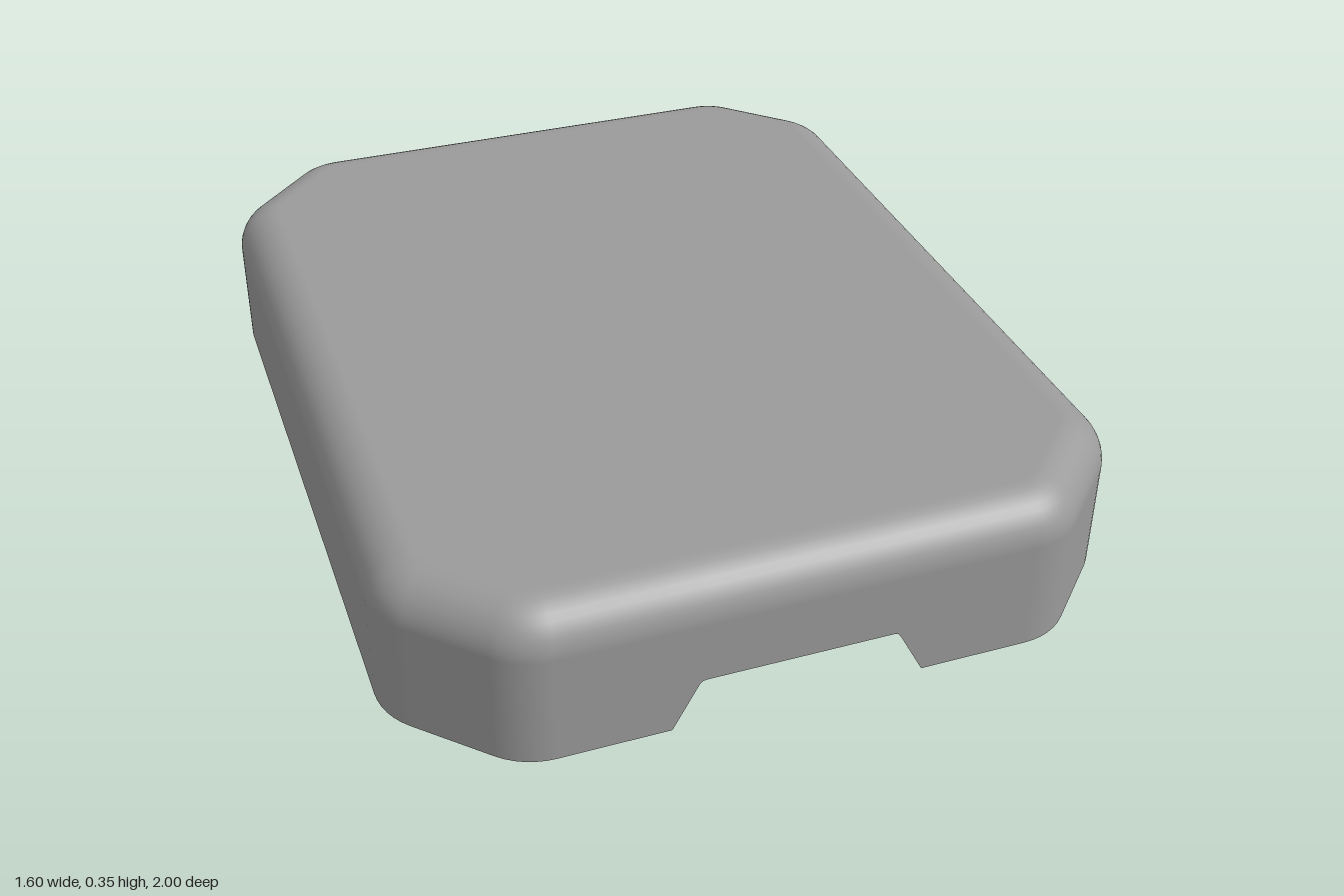
import * as THREE from 'three';

const R = 0.16;                          // plan corner radius
const T = R * Math.tan(Math.PI / 8);     // tangent length at a 45 degree corner
const HEIGHT = 0.35, FILLET = 0.1;
const NOTCH = [[0.27, 0], [0.215, 0.103], [0.209, 0.11], [0.2, 0.112]]; // half notch: x, lower edge height

// Outline columns: arc centre, outward normal and lower edge height
function outline() {
  const cols = [];
  const add = (cx, cz, a, low = 0) => cols.push({ cx, cz, nx: Math.cos(a), nz: Math.sin(a), low });
  for (let k = 0; k < 8; k++) {
    const mid = (k + 0.5) * Math.PI / 4;
    const sx = Math.sign(Math.cos(mid)), sz = Math.sign(Math.sin(mid));
    const sideCorner = k % 4 === 0 || k % 4 === 3;
    const cx = sx * (sideCorner ? 0.8 - R : 0.573 - T);
    const cz = sz * (sideCorner ? 0.773 - T : 1 - R);
    for (let i = 0; i <= 6; i++) add(cx, cz, (k + i / 6) * Math.PI / 4);
    // cable notch across the front and back walls
    if (k === 1 || k === 5) {
      for (const [x, y] of NOTCH) add(sx * x, cz, (k + 1) * Math.PI / 4, y);
      for (const [x, y] of [...NOTCH].reverse()) add(-sx * x, cz, (k + 1) * Math.PI / 4, y);
    }
  }
  return cols;
}

// Upright wall rolling over into a rounded rim, closed by a flat top
function shellGeometry() {
  const cols = outline(), steps = 10, rows = steps + 2;
  const pos = [], nor = [], index = [];
  for (const c of cols) {
    for (let j = 0; j < rows; j++) {
      const a = Math.max(0, j - 1) / steps * Math.PI / 2;
      const d = R - FILLET * (1 - Math.cos(a));
      const y = j === 0 ? c.low : HEIGHT - FILLET * (1 - Math.sin(a));
      pos.push(c.cx + c.nx * d, y, c.cz + c.nz * d);
      nor.push(c.nx * Math.cos(a), Math.sin(a), c.nz * Math.cos(a));
    }
  }
  const centre = cols.length * rows;
  pos.push(0, HEIGHT, 0);
  nor.push(0, 1, 0);
  for (let i = 0; i < cols.length; i++) {
    const p = i * rows, q = ((i + 1) % cols.length) * rows;
    for (let j = 0; j < rows - 1; j++) {
      index.push(p + j, p + j + 1, q + j, q + j, p + j + 1, q + j + 1);
    }
    index.push(centre, q + rows - 1, p + rows - 1);
  }
  const g = new THREE.BufferGeometry();
  g.setAttribute('position', new THREE.Float32BufferAttribute(pos, 3));
  g.setAttribute('normal', new THREE.Float32BufferAttribute(nor, 3));
  g.setIndex(index);
  return g;
}

export function createModel() {
  const group = new THREE.Group();
  group.name = 'cover';
  const shell = new THREE.Mesh(
    shellGeometry(),
    new THREE.MeshStandardMaterial({ color: 0x9a9a9a, side: THREE.DoubleSide })
  );
  shell.name = 'coverShell';
  group.add(shell);
  return group;
}
